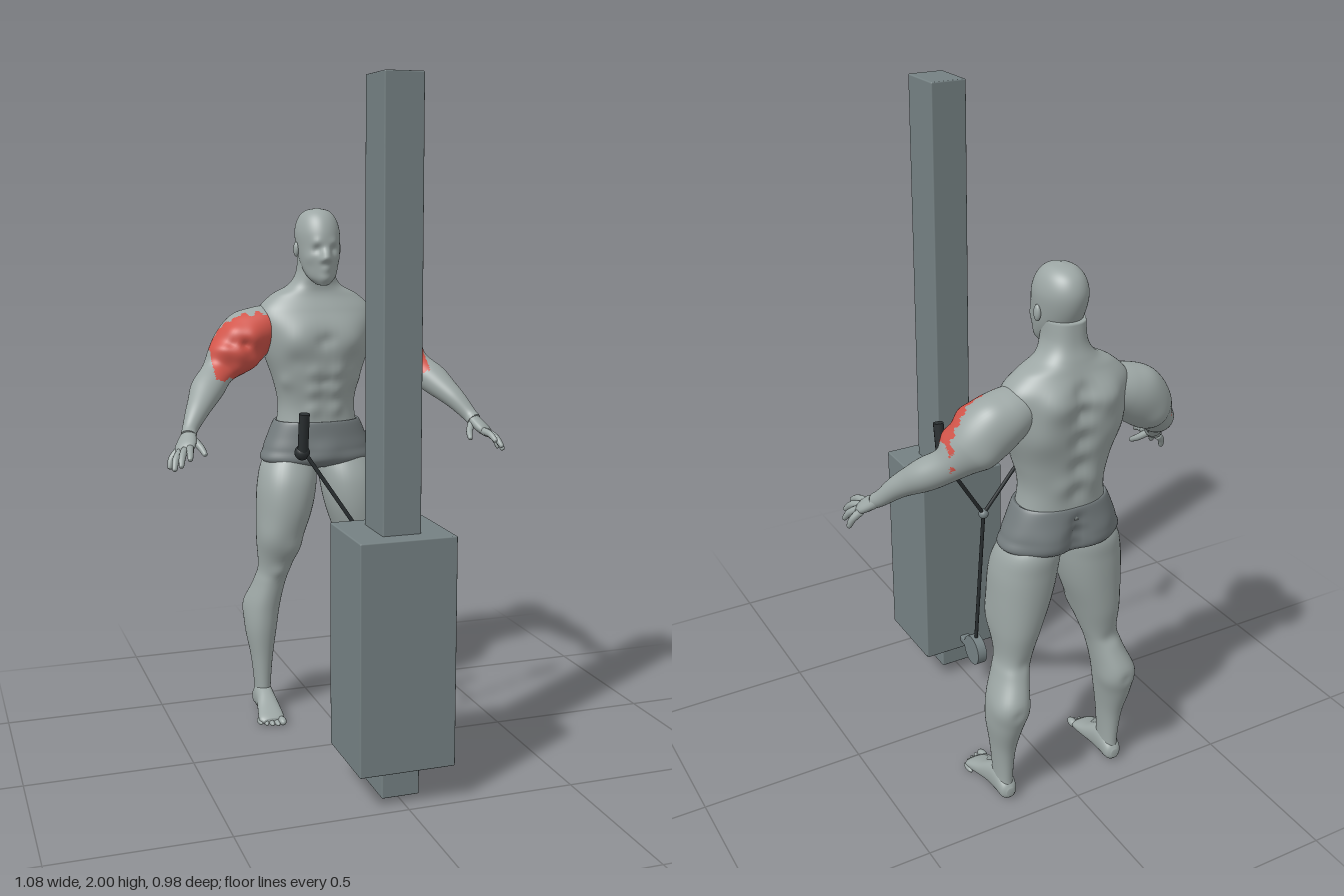
import * as THREE from 'three';
import { RoundedBoxGeometry } from 'three/addons/geometries/RoundedBoxGeometry.js';

const mat = (name, color) => Object.assign(new THREE.MeshStandardMaterial({ color }), { name });
const V = (x, y, z) => new THREE.Vector3(x, y, z);

// Smooth skin through cross-sections [x, y, z, radiusU, radiusV].
// Bumps [x, y, z, spread, height] swell or dent the skin like muscles.
function loft(rows, { hint, axis, round = 2, bumps = [], seg = 32, step = 7 }) {
  const path = new THREE.CatmullRomCurve3(rows.map(r => V(r[0], r[1], r[2])), false, 'catmullrom');
  const size = new THREE.CatmullRomCurve3(rows.map(r => V(r[3], r[4], 0)), false, 'catmullrom');
  const n = (rows.length - 1) * step, pos = [], idx = [];
  const shape = a => Math.sign(a) * Math.abs(a) ** (2 / round);
  for (let j = 0; j <= n; j++) {
    const c = path.getPoint(j / n), s = size.getPoint(j / n);
    const t = axis ? axis.clone() : path.getTangent(j / n);
    const u = hint.clone().cross(t).normalize(), v = t.clone().cross(u);
    for (let i = 0; i < seg; i++) {
      const a = i / seg * Math.PI * 2;
      const off = u.clone().multiplyScalar(shape(Math.cos(a)) * Math.max(s.x, 0.0005))
        .addScaledVector(v, shape(Math.sin(a)) * Math.max(s.y, 0.0005));
      const p = c.clone().add(off), dir = off.clone().normalize();
      let lift = 0;
      for (const [x, y, z, w, h] of bumps) lift += h * Math.exp(-p.distanceToSquared(V(x, y, z)) / (w * w));
      p.addScaledVector(dir, lift);
      pos.push(p.x, p.y, p.z);
      if (j < n) {
        const k = j * seg + i, m = j * seg + (i + 1) % seg;
        idx.push(k, m, m + seg, k, m + seg, k + seg);
      }
    }
  }
  // end caps
  for (const j of [0, n]) {
    const c = path.getPoint(j / n), k = pos.length / 3;
    pos.push(c.x, c.y, c.z);
    for (let i = 0; i < seg; i++) {
      const a = j * seg + i, b = j * seg + (i + 1) % seg;
      if (j) idx.push(a, b, k); else idx.push(b, a, k);
    }
  }
  const g = new THREE.BufferGeometry();
  g.setAttribute('position', new THREE.Float32BufferAttribute(pos, 3));
  g.setIndex(idx);
  g.computeVertexNormals();
  return g;
}

// Upright loft from rows [y, halfWidth, zFront, zBack, x], listed bottom to top
const upright = (rows, opt) => loft(
  rows.map(([y, w, f, b, x = 0]) => [x, y, (f + b) / 2, w, (f - b) / 2]),
  { hint: V(0, 0, 1), axis: V(0, 1, 0), ...opt });

// Give the faces whose centre passes the test the second material
function splitFaces(g, test) {
  const p = g.attributes.position, index = g.index.array, parts = [[], []];
  for (let i = 0; i < index.length; i += 3) {
    const tri = [...index.slice(i, i + 3)], c = V(0, 0, 0);
    tri.forEach(k => c.add(V().fromBufferAttribute(p, k)));
    parts[test(c.divideScalar(3)) ? 1 : 0].push(...tri);
  }
  g.setIndex(parts.flat());
  g.addGroup(0, parts[0].length, 0);
  g.addGroup(parts[0].length, parts[1].length, 1);
  return g;
}

const bothSides = list => list.flatMap(([x, ...r]) => x ? [[x, ...r], [-x, ...r]] : [[x, ...r]]);

export function createModel() {
  const skin = mat('skin grey', 0x9da7a5), steel = mat('machine grey', 0x758183);
  const cloth = mat('briefs grey', 0x747c7e), red = mat('muscle red', 0xd2554a);
  const black = mat('cable black', 0x2a2f31);
  const root = new THREE.Group();
  const man = new THREE.Group(), machine = new THREE.Group();
  man.name = 'man';
  machine.name = 'cableMachine';
  root.add(man, machine);
  const add = (parent, name, geo, material, p = [0, 0, 0]) => {
    const m = new THREE.Mesh(geo, material);
    m.name = name;
    m.position.set(...p);
    parent.add(m);
    return m;
  };
  const ball = (parent, name, material, p, r) =>
    add(parent, name, new THREE.SphereGeometry(1, 20, 14), material, p).scale.set(...r);
  const rod = (parent, name, a, b, r) => {
    const A = V(...a), B = V(...b);
    const m = add(parent, name, new THREE.CylinderGeometry(r, r, A.distanceTo(B), 12), black);
    m.position.copy(A).lerp(B, 0.5);
    m.quaternion.setFromUnitVectors(V(0, 1, 0), B.sub(A).normalize());
  };

  // Torso and neck
  add(man, 'torso', upright([
    [0.93, 0.135, -0.265, -0.448], [1.02, 0.124, -0.268, -0.452], [1.1, 0.14, -0.256, -0.462],
    [1.19, 0.17, -0.247, -0.472], [1.27, 0.186, -0.252, -0.475], [1.325, 0.184, -0.275, -0.467],
    [1.37, 0.14, -0.298, -0.45], [1.4, 0.085, -0.302, -0.44], [1.44, 0.06, -0.295, -0.427],
    [1.5, 0.055, -0.29, -0.42]], {
    round: 2.35, seg: 64, step: 9,
    bumps: bothSides([
      [0.08, 1.23, -0.24, 0.055, 0.016], [0.1, 1.165, -0.245, 0.03, -0.008],
      [0.035, 1.13, -0.25, 0.024, 0.009], [0.035, 1.07, -0.258, 0.024, 0.009],
      [0.035, 1.01, -0.266, 0.024, 0.009], [0.12, 1.1, -0.29, 0.025, 0.006],
      [0.07, 1.3, -0.475, 0.05, 0.022], [0.11, 1.2, -0.47, 0.06, 0.013],
      [0.04, 1.04, -0.455, 0.035, 0.008],
      [0, 1.02, -0.455, 0.03, -0.01], [0, 1.1, -0.462, 0.03, -0.013], [0, 1.18, -0.472, 0.03, -0.017],
      [0, 1.26, -0.475, 0.03, -0.022], [0, 1.32, -0.468, 0.03, -0.018],
      [0, 1.23, -0.252, 0.022, -0.012], [0, 1.1, -0.255, 0.014, -0.006]]),
  }), skin);

  // Head with brow, eye sockets, nose, lips and chin
  add(man, 'head', upright([
    [1.405, 0.018, -0.255, -0.3], [1.43, 0.044, -0.247, -0.34], [1.47, 0.058, -0.242, -0.39],
    [1.52, 0.066, -0.241, -0.42], [1.57, 0.069, -0.247, -0.431], [1.61, 0.058, -0.266, -0.418],
    [1.634, 0.036, -0.295, -0.388], [1.642, 0.004, -0.335, -0.345]], {
    seg: 64, step: 10,
    bumps: bothSides([
      [0, 1.49, -0.241, 0.014, 0.017], [0, 1.508, -0.241, 0.013, 0.01], [0.012, 1.484, -0.242, 0.009, 0.005],
      [0.027, 1.518, -0.25, 0.014, -0.009], [0.027, 1.536, -0.25, 0.015, 0.005],
      [0, 1.456, -0.242, 0.014, 0.006], [0, 1.425, -0.247, 0.02, 0.008], [0.045, 1.49, -0.27, 0.02, 0.004]]),
  }), skin);

  // Briefs
  add(man, 'briefs', upright([
    [0.815, 0.06, -0.31, -0.41], [0.84, 0.179, -0.256, -0.452], [0.88, 0.177, -0.254, -0.456],
    [0.92, 0.162, -0.257, -0.456], [0.967, 0.141, -0.26, -0.452], [0.968, 0.13, -0.27, -0.44]], {
    round: 2.25, seg: 64,
    bumps: bothSides([[0.075, 0.87, -0.445, 0.055, 0.015], [0, 0.85, -0.456, 0.026, -0.026],
      [0, 0.89, -0.46, 0.024, -0.024], [0, 0.93, -0.456, 0.02, -0.01], [0, 0.87, -0.255, 0.04, 0.01]]),
  }), cloth);

  for (const [s, side] of [[1, 'left'], [-1, 'right']]) {
    const flip = rows => rows.map(([x, ...r]) => [s * x, ...r]);
    const limb = new THREE.Group();
    limb.name = side + 'Limbs';
    man.add(limb);
    ball(limb, 'ear', skin, [s * 0.069, 1.515, -0.338], [0.009, 0.023, 0.013]);

    // Leg, from ankle to hip
    const leg = [
      [0.02, 0.026, -0.325, -0.415, 0.187], [0.08, 0.025, -0.325, -0.412, 0.187],
      [0.18, 0.034, -0.318, -0.422, 0.188], [0.28, 0.05, -0.308, -0.452, 0.188],
      [0.36, 0.055, -0.305, -0.463, 0.18], [0.44, 0.05, -0.298, -0.432, 0.16],
      [0.49, 0.052, -0.287, -0.42, 0.146], [0.58, 0.07, -0.25, -0.435, 0.134],
      [0.68, 0.088, -0.232, -0.443, 0.117], [0.77, 0.094, -0.237, -0.447, 0.105],
      [0.84, 0.083, -0.263, -0.446, 0.095], [0.9, 0.04, -0.3, -0.41, 0.085]];
    add(limb, 'leg', upright(leg.map(r => [...r.slice(0, 4), s * r[4]]), {
      round: 2.15, seg: 40,
      bumps: flip([[0.1, 0.56, -0.27, 0.04, 0.012], [0.175, 0.6, -0.28, 0.05, 0.008],
        [0.145, 0.485, -0.29, 0.025, 0.009], [0.215, 0.35, -0.43, 0.04, 0.008],
        [0.155, 0.33, -0.43, 0.04, 0.008], [0.187, 0.34, -0.47, 0.018, -0.006],
        [0.145, 0.47, -0.43, 0.025, -0.006]]),
    }), skin);

    // Foot and toes
    add(limb, 'foot', loft(flip([
      [0.187, 0.03, -0.42, 0.012, 0.014], [0.187, 0.034, -0.405, 0.026, 0.03],
      [0.187, 0.047, -0.365, 0.03, 0.045], [0.188, 0.042, -0.32, 0.031, 0.04],
      [0.191, 0.028, -0.27, 0.038, 0.026], [0.195, 0.018, -0.225, 0.041, 0.016],
      [0.195, 0.014, -0.208, 0.03, 0.009]]), { hint: V(0, 1, 0), axis: V(0, 0, 1), round: 2.3 }), skin);
    for (let i = 0; i < 5; i++) {
      const r = i ? 0.0085 : 0.013;
      ball(limb, 'toe', skin, [s * (0.166 + i * 0.0165), r + 0.001, -0.204 - i * i * 0.0018], [r, r, 0.024]);
    }

    // Arm, from shoulder to wrist; the front of the upper arm is lumpy, ragged-edged red muscle
    const arm = loft(flip([
      [0.11, 1.29, -0.375, 0.06, 0.055], [0.18, 1.263, -0.375, 0.08, 0.074],
      [0.235, 1.23, -0.37, 0.085, 0.084], [0.282, 1.185, -0.357, 0.076, 0.074],
      [0.328, 1.138, -0.335, 0.052, 0.05], [0.37, 1.095, -0.285, 0.051, 0.046],
      [0.42, 1.04, -0.215, 0.037, 0.034], [0.455, 0.99, -0.168, 0.024, 0.024],
      [0.465, 0.972, -0.145, 0.024, 0.022]]), {
      hint: V(0, 1, 0), seg: 64, step: 12,
      bumps: flip([[0.27, 1.17, -0.43, 0.04, 0.01], [0.25, 1.3, -0.41, 0.04, 0.006],
        [0.4, 1.1, -0.28, 0.04, 0.006], [0.225, 1.25, -0.285, 0.035, 0.014],
        [0.28, 1.26, -0.3, 0.03, 0.01], [0.32, 1.2, -0.29, 0.03, 0.014],
        [0.27, 1.195, -0.275, 0.03, 0.012], [0.22, 1.16, -0.29, 0.034, 0.02],
        [0.28, 1.14, -0.29, 0.028, 0.014], [0.335, 1.195, -0.33, 0.03, 0.01],
        [0.25, 1.225, -0.28, 0.014, -0.012], [0.297, 1.23, -0.28, 0.014, -0.01]]),
    });
    const isRed = c => {
      const x = Math.abs(c.x), rag = Math.sin(x * 150) * Math.sin(c.y * 130);
      const back = -0.328 - Math.max(0, x - 0.22) * 0.4;
      return x > 0.16 && x < 0.354 && c.y > 1.118 + rag * 0.006 && c.z > back + rag * 0.014;
    };
    add(limb, 'arm', splitFaces(arm, isRed), [skin, red]);

    // Hand: palm, then thumb and four fingers as tapered tubes
    add(limb, 'palm', loft(flip([
      [0.457, 0.987, -0.165, 0.018, 0.018], [0.47, 0.965, -0.138, 0.029, 0.018],
      [0.483, 0.946, -0.11, 0.034, 0.017], [0.492, 0.932, -0.09, 0.026, 0.011]]),
    { hint: V(s * 0.4, 0.8, 0.2).normalize(), seg: 20 }), skin);
    const digits = [
      [0.455, 0.965, -0.14, 0.436, 0.942, -0.115, 0.428, 0.924, -0.088],
      [0.472, 0.945, -0.095, 0.48, 0.94, -0.055, 0.486, 0.924, -0.025],
      [0.487, 0.94, -0.095, 0.502, 0.928, -0.06, 0.511, 0.904, -0.033],
      [0.498, 0.935, -0.105, 0.517, 0.917, -0.08, 0.526, 0.89, -0.058],
      [0.503, 0.934, -0.12, 0.524, 0.912, -0.112, 0.532, 0.887, -0.103]];
    digits.forEach((d, i) => add(limb, i ? 'finger' : 'thumb', loft(flip([
      [...d.slice(0, 3), 0.012, 0.012], [...d.slice(3, 6), 0.0105, 0.0105],
      [...d.slice(6), 0.0075, 0.0075],
      [d[6] + (d[6] - d[3]) * 0.15, d[7] + (d[7] - d[4]) * 0.15, d[8] + (d[8] - d[5]) * 0.15, 0.002, 0.002]]),
    { hint: V(1, 0, 0), seg: 12, step: 4 }), skin));

    // Cable branch and handle
    rod(machine, side + 'Cable', [0, 0.69, 0.088], [s * 0.165, 0.945, 0.045], 0.006);
    rod(machine, side + 'Handle', [s * 0.165, 0.935, 0.042], [s * 0.165, 1.055, 0.062], 0.016);
    ball(machine, side + 'HandleEnd', black, [s * 0.165, 0.936, 0.036], [0.023, 0.023, 0.023]);
  }

  // Column, weight housing and pulley
  const block = (name, w, h, d, p) => add(machine, name, new RoundedBoxGeometry(w, h, d, 2, 0.004), steel, p);
  block('column', 0.112, 1.99, 0.15, [0, 1.005, 0.357]);
  block('weightHousing', 0.282, 0.662, 0.264, [0, 0.437, 0.358]);
  block('pulleyArm', 0.032, 0.022, 0.09, [0, 0.143, 0.19]);
  add(machine, 'pulley', new THREE.CylinderGeometry(0.05, 0.05, 0.032, 32), steel, [0, 0.143, 0.148])
    .rotation.z = Math.PI / 2;
  rod(machine, 'mainCable', [0, 0.18, 0.145], [0, 0.69, 0.088], 0.006);
  ball(machine, 'cableJoint', steel, [0, 0.69, 0.088], [0.016, 0.016, 0.016]);
  return root;
}
